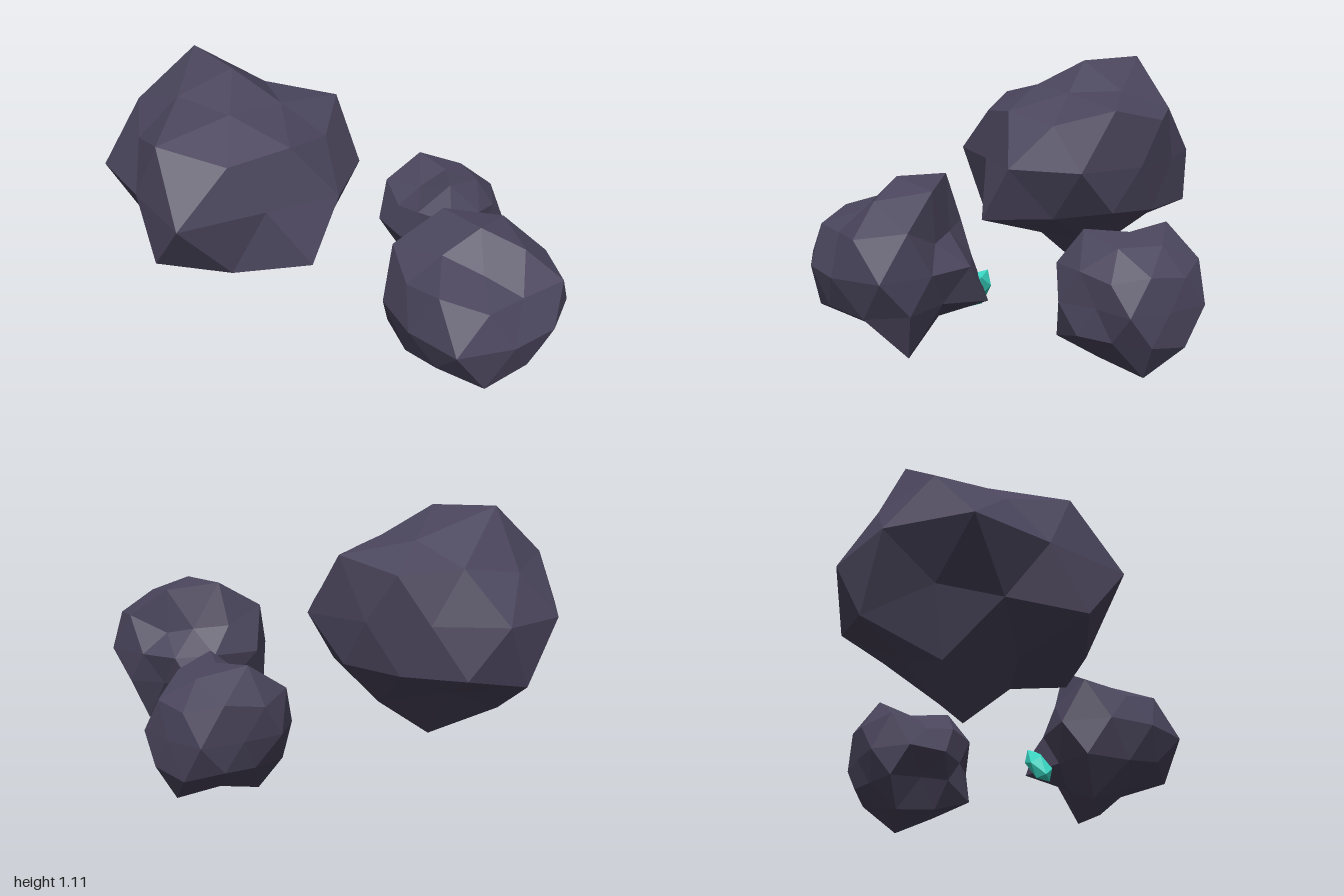
import * as THREE from 'three';

const stone = new THREE.MeshStandardMaterial({ color: 0x4a455c, flatShading: true });
stone.name = 'dusky violet stone';
const teal = new THREE.MeshStandardMaterial({ color: 0x38d6c2, flatShading: true });
teal.name = 'teal crystal';

// Rings of a 42-point icosphere: [count, first azimuth in degrees, height]
const RINGS = {
  top: [1, 0, 1], T1: [5, 0, 0.851], T2: [5, 0, 0.447], T3: [5, 36, 0.526],
  E: [10, 18, 0],
  B3: [5, 0, -0.526], B2: [5, 36, -0.447], B1: [5, 36, -0.851], bottom: [1, 0, -1],
};

// A rock is an icosphere whose points are pushed in or out, ring by ring
function makeRock(name, center, squash, radii) {
  const unit = {}, moved = {};
  for (const [ring, [count, start, y]] of Object.entries(RINGS)) {
    const r = Math.sqrt(1 - y * y);
    unit[ring] = [];
    moved[ring] = [];
    for (let i = 0; i < count; i++) {
      const a = THREE.MathUtils.degToRad(start + (i * 360) / count);
      const p = new THREE.Vector3(r * Math.cos(a), y, r * Math.sin(a));
      unit[ring].push(p);
      moved[ring].push(p.clone().multiplyScalar(radii[ring][i]).multiply(new THREE.Vector3(1, squash, 1)));
    }
  }

  const positions = [];
  const face = (...corners) => {
    const pick = (set) => corners.map(([ring, i]) => set[ring][i % set[ring].length]);
    const [a, b, c] = pick(unit);
    const normal = b.clone().sub(a).cross(c.clone().sub(a));
    const pts = pick(moved);
    if (normal.dot(a) < 0) pts.reverse();
    pts.forEach((p) => positions.push(p.x, p.y, p.z));
  };

  // One fifth of the sphere at a time
  for (let k = 0; k < 5; k++) {
    const n = k + 1, e = 2 * k;
    face(['top', 0], ['T1', k], ['T1', n]);
    face(['T1', k], ['T1', n], ['T3', k]);
    face(['T1', k], ['T3', k], ['T2', k]);
    face(['T1', n], ['T2', n], ['T3', k]);
    face(['T2', k], ['T3', k], ['E', e]);
    face(['T3', k], ['T2', n], ['E', e + 1]);
    face(['T3', k], ['E', e], ['E', e + 1]);
    face(['T2', n], ['E', e + 1], ['E', e + 2]);
    face(['E', e], ['E', e + 1], ['B2', k]);
    face(['E', e], ['B2', k], ['B3', k]);
    face(['E', e + 1], ['B3', n], ['B2', k]);
    face(['E', e + 1], ['E', e + 2], ['B3', n]);
    face(['B2', k], ['B1', k], ['B3', k]);
    face(['B2', k], ['B3', n], ['B1', k]);
    face(['B1', k], ['B1', n], ['B3', n]);
    face(['bottom', 0], ['B1', k], ['B1', n]);
  }
  const geometry = new THREE.BufferGeometry();
  geometry.setAttribute('position', new THREE.Float32BufferAttribute(positions, 3));
  geometry.computeVertexNormals();
  const mesh = new THREE.Mesh(geometry, stone);
  mesh.name = name;
  mesh.position.set(...center);
  return mesh;
}

export function createModel() {
  const group = new THREE.Group();
  group.name = 'floatingRocks';

  group.add(makeRock('largeRock', [-0.46, 0.67, 0.01], 0.9, {
    top: [0.483],
    T1: [0.4, 0.42, 0.445, 0.58, 0.4],
    T2: [0.45, 0.5, 0.455, 0.47, 0.48],
    T3: [0.48, 0.557, 0.52, 0.46, 0.535],
    E: [0.536, 0.465, 0.625, 0.485, 0.568, 0.536, 0.515, 0.42, 0.435, 0.53],
    B3: [0.48, 0.555, 0.46, 0.56, 0.45],
    B2: [0.615, 0.595, 0.45, 0.52, 0.48],
    B1: [0.45, 0.45, 0.56, 0.41, 0.49],
    bottom: [0.612],
  }));

  group.add(makeRock('frontRock', [0.66, 0.41, 0.37], 0.94, {
    top: [0.345],
    T1: [0.325, 0.245, 0.295, 0.395, 0.36],
    T2: [0.36, 0.33, 0.33, 0.3, 0.22],
    T3: [0.28, 0.355, 0.395, 0.23, 0.34],
    E: [0.33, 0.33, 0.387, 0.345, 0.36, 0.355, 0.28, 0.3, 0.28, 0.355],
    B3: [0.32, 0.367, 0.34, 0.3, 0.27],
    B2: [0.32, 0.33, 0.39, 0.38, 0.33],
    B1: [0.28, 0.295, 0.405, 0.28, 0.405],
    bottom: [0.36],
  }));

  group.add(makeRock('backRock', [0.37, 0.27, -0.46], 0.94, {
    top: [0.27],
    T1: [0.28, 0.33, 0.235, 0.34, 0.28],
    T2: [0.255, 0.31, 0.255, 0.3, 0.28],
    T3: [0.27, 0.28, 0.325, 0.31, 0.28],
    E: [0.21, 0.28, 0.24, 0.27, 0.3, 0.285, 0.245, 0.297, 0.25, 0.28],
    B3: [0.245, 0.325, 0.21, 0.25, 0.3],
    B2: [0.27, 0.24, 0.29, 0.27, 0.29],
    B1: [0.27, 0.28, 0.31, 0.25, 0.332],
    bottom: [0.265],
  }));

  // Slender crystal clinging to the back of the front rock
  const crystal = new THREE.Mesh(new THREE.IcosahedronGeometry(1, 0), teal);
  crystal.name = 'crystal';
  crystal.scale.set(0.05, 0.115, 0.05);
  crystal.position.set(0.498, 0.275, 0.118);
  crystal.quaternion.setFromUnitVectors(
    new THREE.Vector3(0, 1, 0), new THREE.Vector3(0.085, 0.17, -0.11).normalize());
  group.add(crystal);

  return group;
}
